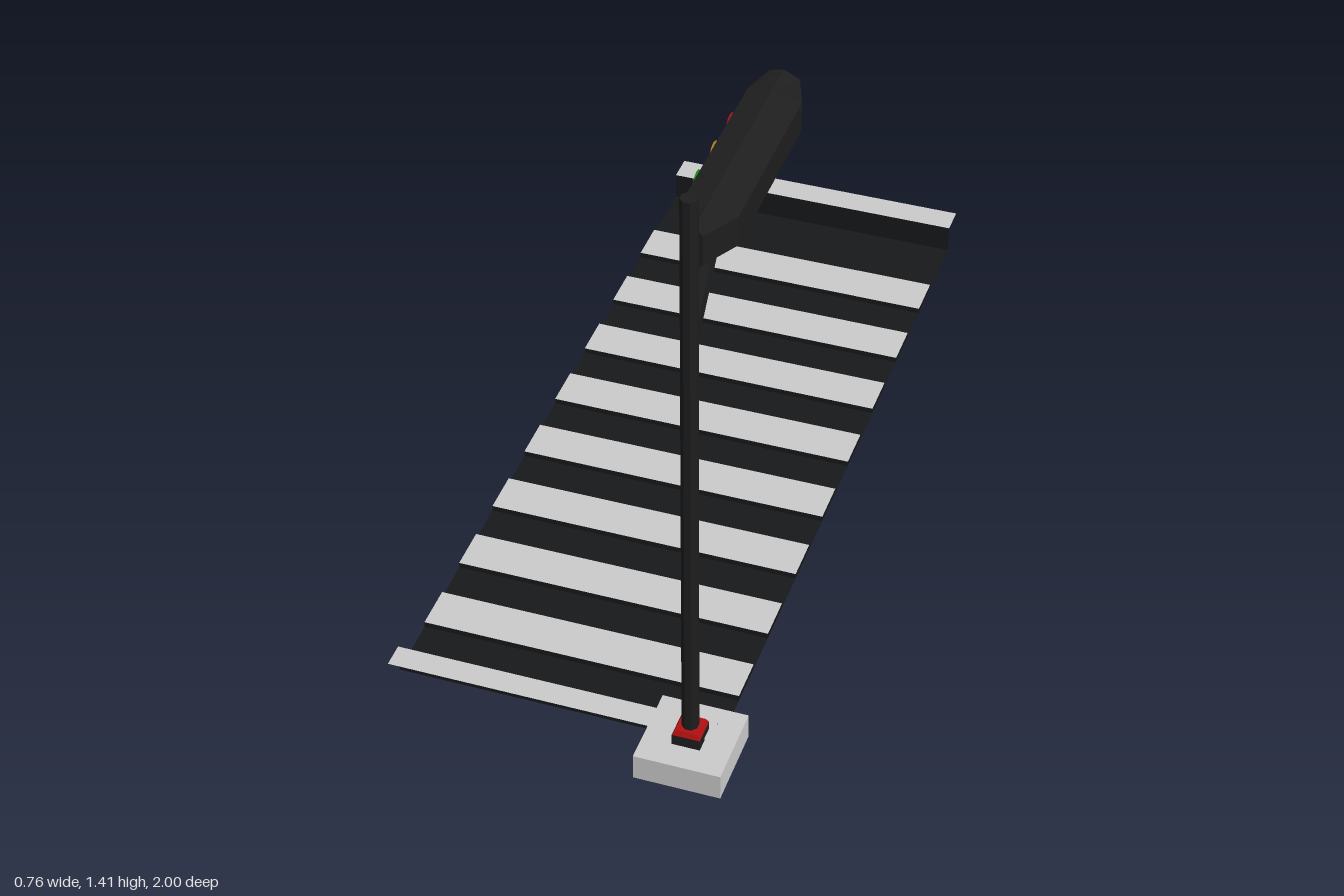
import * as THREE from 'three';
import { mergeGeometries } from 'three/addons/utils/BufferGeometryUtils.js';

const mat = (color, side = THREE.FrontSide) =>
  new THREE.MeshStandardMaterial({ color, side, flatShading: true });

const X0 = -0.38, X1 = 0.325;          // road edges
const POLE_X = 0.283, POLE_Z = 0.912;  // pole axis

function add(parent, name, geometry, material, x = 0, y = 0, z = 0) {
  const mesh = new THREE.Mesh(geometry, material);
  mesh.name = name;
  mesh.position.set(x, y, z);
  parent.add(mesh);
  return mesh;
}

function quad(a, b, c, d) {
  const g = new THREE.BufferGeometry();
  g.setAttribute('position', new THREE.Float32BufferAttribute([...a, ...b, ...c, ...d], 3));
  g.setIndex([0, 1, 2, 0, 2, 3]);
  g.computeVertexNormals();
  return g;
}

// strip across the road between two (z, y) profile points
const strip = (z0, y0, z1, y1) =>
  quad([X0, y0, z0], [X0, y1, z1], [X1, y1, z1], [X1, y0, z0]);

function createRoad(black, white) {
  const road = new THREE.Group();
  road.name = 'road';
  const zBack = -0.935, zFront = 0.86, curb = 0.066, h = 0.013;
  const dark = [strip(zBack, curb, zBack, 0), strip(zFront, 0, zFront, curb)];
  const light = [];
  let z = zBack;
  // raised crossing stripes with dark sides and ends
  for (let i = 0; i < 8; i++) {
    const a = -0.768 + i * 0.1985, b = a + 0.1;
    dark.push(strip(z, 0, a, 0), strip(a, 0, a, h), strip(b, h, b, 0));
    dark.push(quad([X1, 0, b], [X1, 0, a], [X1, h, a], [X1, h, b]));
    dark.push(quad([X0, 0, a], [X0, 0, b], [X0, h, b], [X0, h, a]));
    light.push(strip(a, h, b, h));
    z = b;
  }
  dark.push(strip(z, 0, zFront, 0));
  add(road, 'asphalt', mergeGeometries(dark), black);
  add(road, 'crossingStripes', mergeGeometries(light), white);
  add(road, 'pavementEdges', mergeGeometries([
    strip(-1, curb, zBack, curb), strip(zFront, curb, 0.915, curb)]), white);
  return road;
}

// signal housing: hexagonal sections lofted along z, narrowed at both ends
function housingGeometry() {
  const sections = [[0.345, 0.256, 0.318], [0.42, 0.235, 0.345], [0.81, 0.235, 0.345], [0.89, 0.264, 0.302]];
  const pos = [], idx = [];
  for (const [z, l, r] of sections) {
    const m = 0.285;
    pos.push(l, 1.237, z, m, 1.23, z, r, 1.247, z, r, 1.313, z, m, 1.33, z, l, 1.323, z);
  }
  for (let s = 0; s < 3; s++) {
    for (let k = 0; k < 6; k++) {
      const a = s * 6 + k, b = s * 6 + (k + 1) % 6;
      idx.push(a, b, b + 6, a, b + 6, a + 6);
    }
  }
  for (let k = 1; k < 5; k++) idx.push(0, k + 1, k, 18, 18 + k, 19 + k);
  const g = new THREE.BufferGeometry();
  g.setAttribute('position', new THREE.Float32BufferAttribute(pos, 3));
  g.setIndex(idx);
  g.computeVertexNormals();
  return g;
}

function createSignal(black) {
  const signal = new THREE.Group();
  signal.name = 'trafficSignal';
  // footing and pole
  add(signal, 'footing', new THREE.BoxGeometry(0.186, 0.06, 0.185), mat(0xcccccc), POLE_X, 0.03, 0.9075);
  add(signal, 'poleBase', new THREE.BoxGeometry(0.06, 0.025, 0.06), black, POLE_X, 0.0725, POLE_Z);
  const collar = new THREE.CylinderGeometry(0.035, 0.042, 0.011, 4).rotateY(Math.PI / 4);
  add(signal, 'poleCollar', collar, mat(0xb01010), POLE_X, 0.0905, POLE_Z);
  const shaft = new THREE.CylinderGeometry(0.018, 0.018, 1.33, 8).rotateY(Math.PI / 8);
  add(signal, 'pole', shaft, black, POLE_X, 0.745, POLE_Z);

  // diagonal brace, outlined in z and y
  const outline = new THREE.Shape([[-0.905, 1.092], [-0.905, 1.138], [-0.828, 1.235], [-0.775, 1.235]]
    .map(([u, v]) => new THREE.Vector2(u, v)));
  const brace = new THREE.ExtrudeGeometry(outline, { depth: 0.034, bevelEnabled: false })
    .rotateY(Math.PI / 2);
  add(signal, 'brace', brace, black, POLE_X - 0.017, 0, 0);

  // housing and lamps
  add(signal, 'signalHousing', housingGeometry(), black);
  const lamps = [['redLamp', 0xa01212, 0.49], ['amberLamp', 0xb87a10, 0.59], ['greenLamp', 0x0c8c14, 0.69]];
  for (const [name, color, z] of lamps) {
    const lamp = new THREE.CylinderGeometry(0.026, 0.026, 0.02, 12).rotateZ(Math.PI / 2);
    add(signal, name, lamp, mat(color), 0.232, 1.279, z);
  }
  return signal;
}

export function createModel() {
  const model = new THREE.Group();
  model.name = 'crosswalkWithSignal';
  model.add(createRoad(mat(0x17181a, THREE.DoubleSide), mat(0xc4c4c4, THREE.DoubleSide)));
  model.add(createSignal(mat(0x1e1e1e)));
  return model;
}
